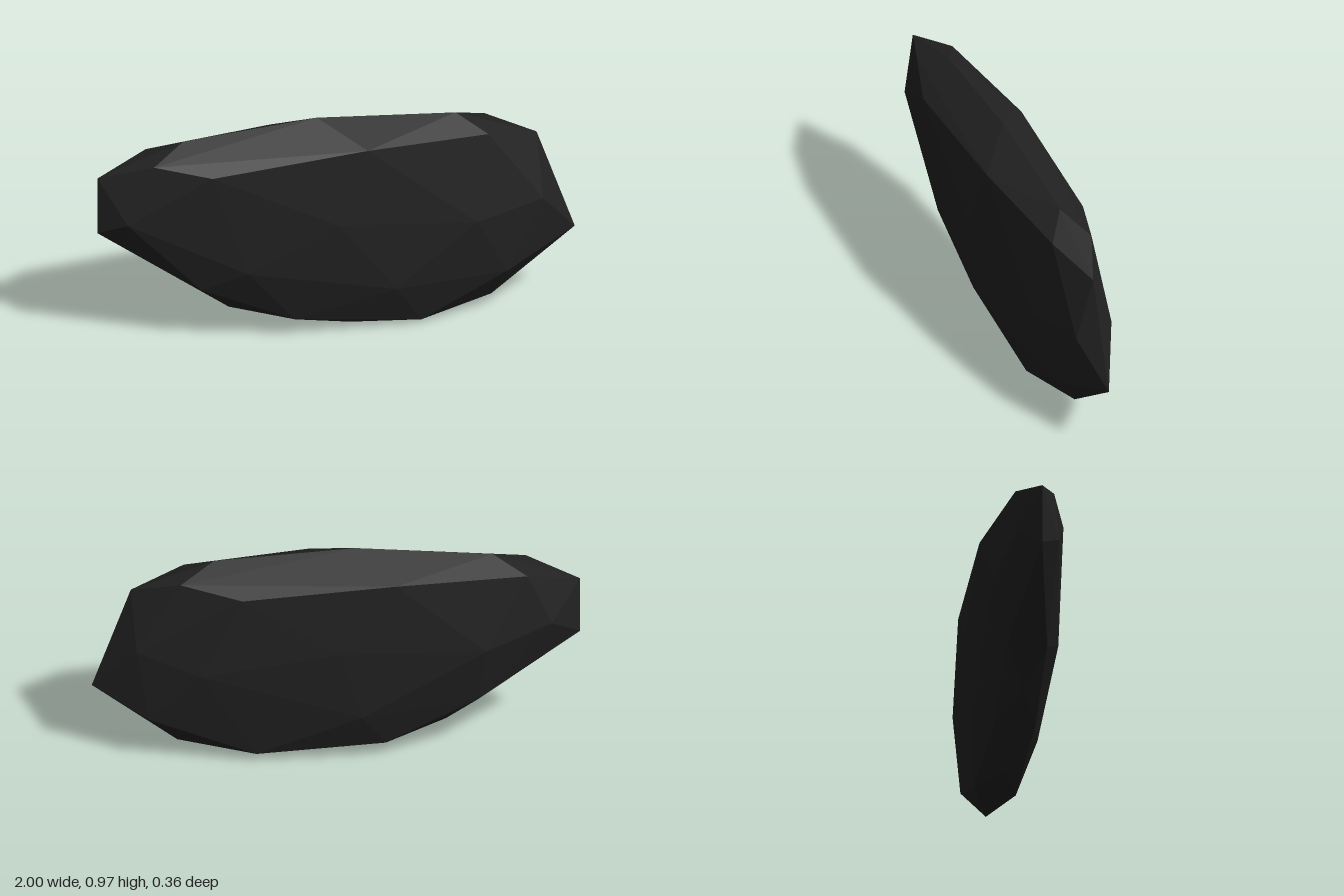
import * as THREE from 'three';
import { ConvexGeometry } from 'three/addons/geometries/ConvexGeometry.js';

export function createModel() {
  const model = new THREE.Group();
  const charcoal = new THREE.MeshStandardMaterial({ color: 0x222222 });
  charcoal.name = 'charcoal';

  // Sharp rim in the middle plane: [x, y]
  const rim = [
    [-1, 0.8], [-0.64, 0.93], [-0.08, 0.975], [0.5, 0.93], [0.84, 0.8],
    [1, 0.34], [0.65, 0.065], [0.06, 0.003], [-0.45, 0.135], [-1, 0.545],
  ];
  // Facet corners of the front bulge: [x, y, depth]
  const front = [
    [-0.78, 0.868, 0.08], [-0.55, 0.826, 0.151], [0.1, 0.88, 0.152], [0.62, 0.86, 0.085],
    [-0.89, 0.61, 0.085], [-0.4, 0.36, 0.151], [-0.03, 0.56, 0.178], [0.56, 0.49, 0.15],
    [0.85, 0.53, 0.08], [-0.58, 0.27, 0.08], [-0.19, 0.09, 0.085], [0.22, 0.22, 0.153],
    [0.7, 0.215, 0.09], [0.34, 0.024, 0.08],
  ];
  // Facet corners of the back bulge
  const back = [
    [-0.78, 0.868, 0.08], [-0.24, 0.88, 0.152], [0.39, 0.826, 0.151], [0.64, 0.866, 0.08],
    [-0.88, 0.64, 0.085], [-0.61, 0.55, 0.15], [-0.01, 0.57, 0.178], [0.56, 0.46, 0.15],
    [0.82, 0.55, 0.09], [-0.58, 0.28, 0.085], [-0.2, 0.08, 0.088], [-0.1, 0.245, 0.153],
    [0.77, 0.22, 0.088], [0.33, 0.045, 0.095],
  ];

  const points = [
    ...rim.map(([x, y]) => new THREE.Vector3(x, y, 0)),
    ...front.map(([x, y, d]) => new THREE.Vector3(x, y, d)),
    ...back.map(([x, y, d]) => new THREE.Vector3(x, y, -d)),
  ];

  // Flat-faced stone wrapped around all corners
  const stone = new THREE.Mesh(new ConvexGeometry(points), charcoal);
  stone.name = 'stone';
  model.add(stone);
  return model;
}
